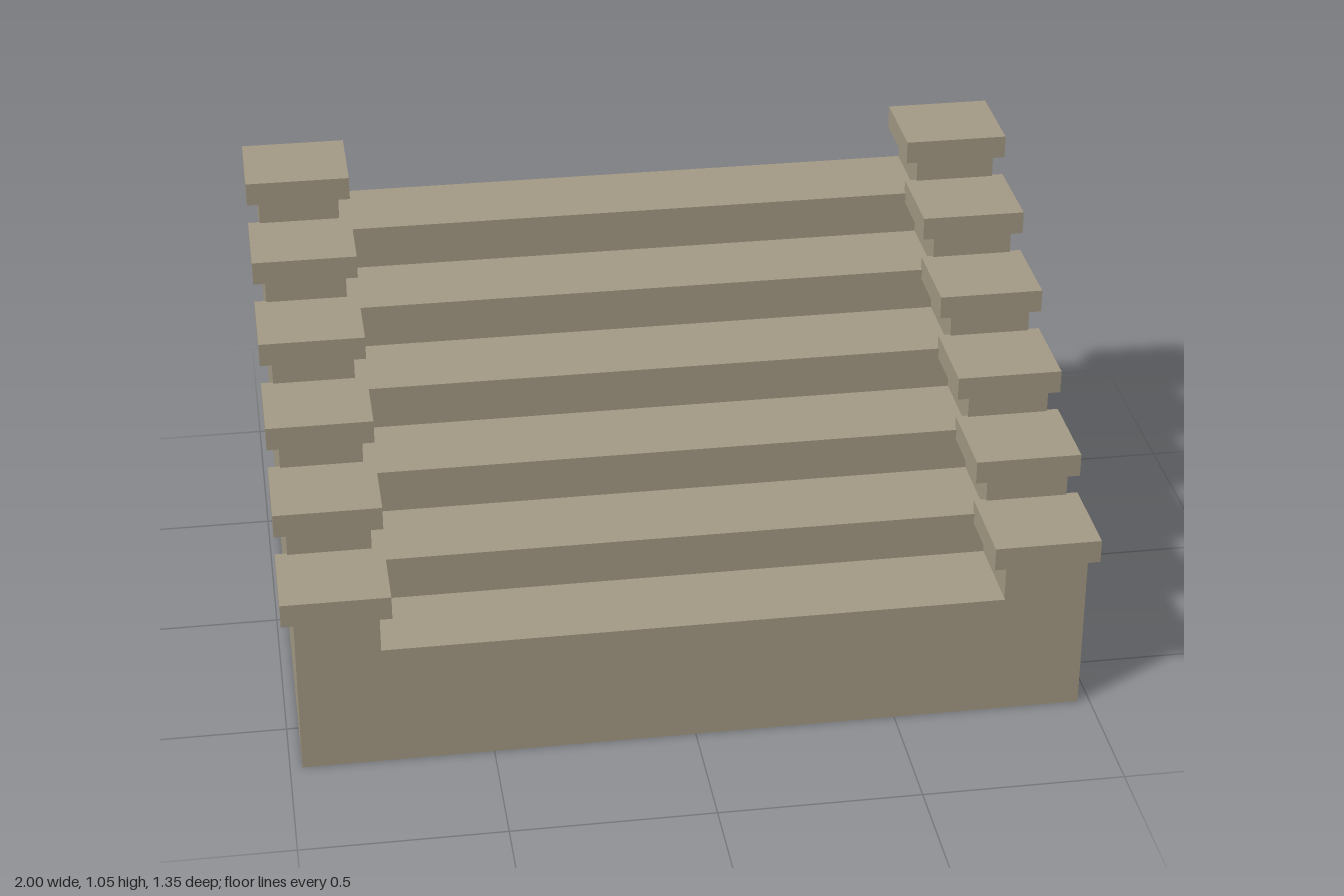
import * as THREE from 'three';

const STEPS = 6, RUN = 0.223, RISE = 0.115, FRONT = 0.669, BACK = -0.669;
const OUTER = 0.97, INNER = 0.765;
const stepFront = (i) => FRONT - RUN * i;
const capBase = (i) => 0.412 + RISE * i;
const treadTop = (i) => 0.325 + RISE * i;

export function createModel() {
  const model = new THREE.Group();
  const stone = new THREE.MeshStandardMaterial({ color: 0xa59b86, side: THREE.DoubleSide });
  stone.name = 'stone';

  const add = (name, geometry, x, y, z) => {
    const mesh = new THREE.Mesh(geometry, stone);
    mesh.name = name;
    mesh.position.set(x, y, z);
    model.add(mesh);
    return mesh;
  };
  // Upright sheet facing front, standing on the ground
  const sheet = (name, x0, x1, height, z) =>
    add(name, new THREE.PlaneGeometry(x1 - x0, height), (x0 + x1) / 2, height / 2, z);

  // Stepped profile shared by the outer and inner side walls (shape x = -z)
  const profile = new THREE.Shape();
  profile.moveTo(-BACK, 0);
  profile.lineTo(-FRONT, 0);
  for (let i = 0; i < STEPS; i++) {
    profile.lineTo(-stepFront(i), capBase(i));
    profile.lineTo(i < STEPS - 1 ? -stepFront(i + 1) : -BACK, capBase(i));
  }
  const wallGeometry = new THREE.ShapeGeometry(profile);
  wallGeometry.rotateY(Math.PI / 2);

  for (const side of [1, -1]) {
    const label = side > 0 ? 'left' : 'right';
    add(label + 'OuterWall', wallGeometry, side * OUTER, 0, 0);
    add(label + 'InnerWall', wallGeometry, side * INNER, 0, 0);

    // Pillar faces and overhanging caps
    for (let i = 0; i < STEPS; i++) {
      const [a, b] = [side * INNER, side * OUTER];
      sheet(label + 'PillarFace' + i, Math.min(a, b), Math.max(a, b), capBase(i), stepFront(i));
      add(label + 'Cap' + i, new THREE.BoxGeometry(0.265, 0.06, 0.235),
        side * 0.8675, capBase(i) + 0.03, stepFront(i) + 0.005 - 0.1175);
    }
  }

  // Risers and treads, the last bay left open at the back
  for (let i = 0; i < STEPS; i++) {
    sheet('riser' + i, -INNER, INNER, treadTop(i) - 0.01, stepFront(i));
    add('tread' + i, new THREE.BoxGeometry(INNER * 2, 0.022, 0.232),
      0, treadTop(i) - 0.011, stepFront(i) + 0.006 - 0.116);
  }
  return model;
}
